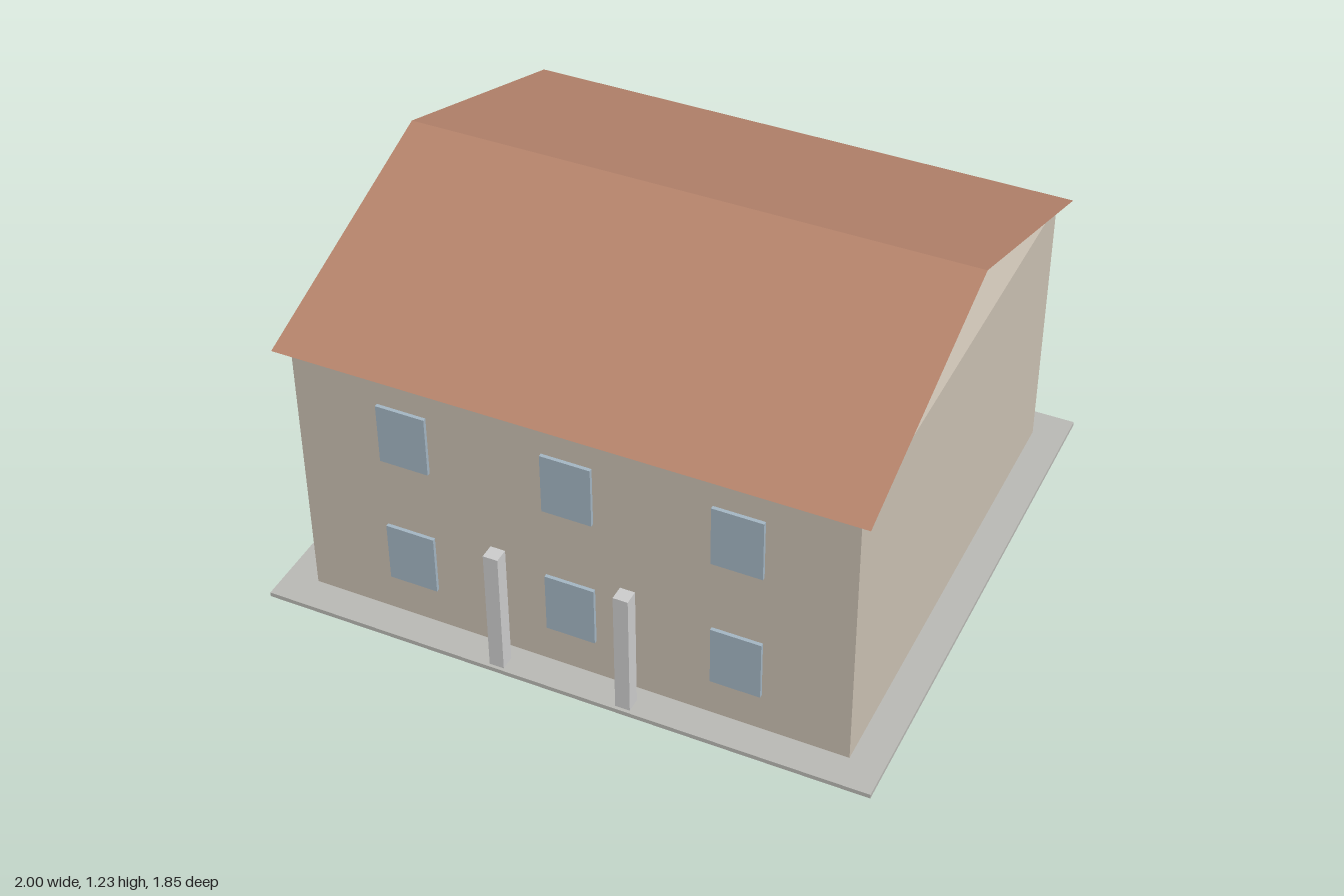
import * as THREE from 'three';

const material = (color, side = THREE.FrontSide) =>
  new THREE.MeshStandardMaterial({ color, side, flatShading: true });

export function createModel() {
  const house = new THREE.Group();
  house.name = 'house';

  const wallMat = material(0xc9bfb1);
  const roofMat = material(0xb5836b, THREE.DoubleSide);
  const glassMat = material(0xa3b5c2);
  const slabMat = material(0xb9b9b4);
  const columnMat = material(0xcccccc);

  // Box given by its centre in x and z and its bottom height
  const box = (name, mat, [w, h, d], [x, y, z]) => {
    const mesh = new THREE.Mesh(new THREE.BoxGeometry(w, h, d), mat);
    mesh.position.set(x, y + h / 2, z);
    mesh.name = name;
    house.add(mesh);
  };

  // Ground slab and closed block of walls
  box('groundSlab', slabMat, [2, 0.015, 1.848], [0, 0, 0]);
  box('walls', wallMat, [1.784, 0.918, 1.632], [0, 0.015, 0]);

  // Two rows of three windows, front and back
  for (const side of [1, -1]) {
    for (const y of [0.152, 0.612]) {
      for (const x of [-0.533, 0, 0.533]) {
        box(side > 0 ? 'frontWindow' : 'backWindow', glassMat,
          [0.16, 0.206, 0.024], [x, y, side * 0.816]);
      }
    }
  }

  // Free-standing entrance columns
  for (const x of [-0.21, 0.21]) {
    box('entranceColumn', columnMat, [0.048, 0.434, 0.048], [x, 0.015, 0.889]);
  }

  // Thin roof sheets sloping from the ridge to each eave, gables left open
  const eaveY = 0.936, ridgeY = 1.228, reach = 0.857, width = 1.864;
  const rise = ridgeY - eaveY;
  for (const side of [1, -1]) {
    const sheet = new THREE.PlaneGeometry(width, Math.hypot(rise, reach));
    sheet.rotateX(-Math.PI / 2);
    sheet.rotateX(side * Math.atan2(rise, reach));
    const slope = new THREE.Mesh(sheet, roofMat);
    slope.position.set(0, (eaveY + ridgeY) / 2, side * reach / 2);
    slope.name = side > 0 ? 'frontRoofSlope' : 'backRoofSlope';
    house.add(slope);
  }

  return house;
}
